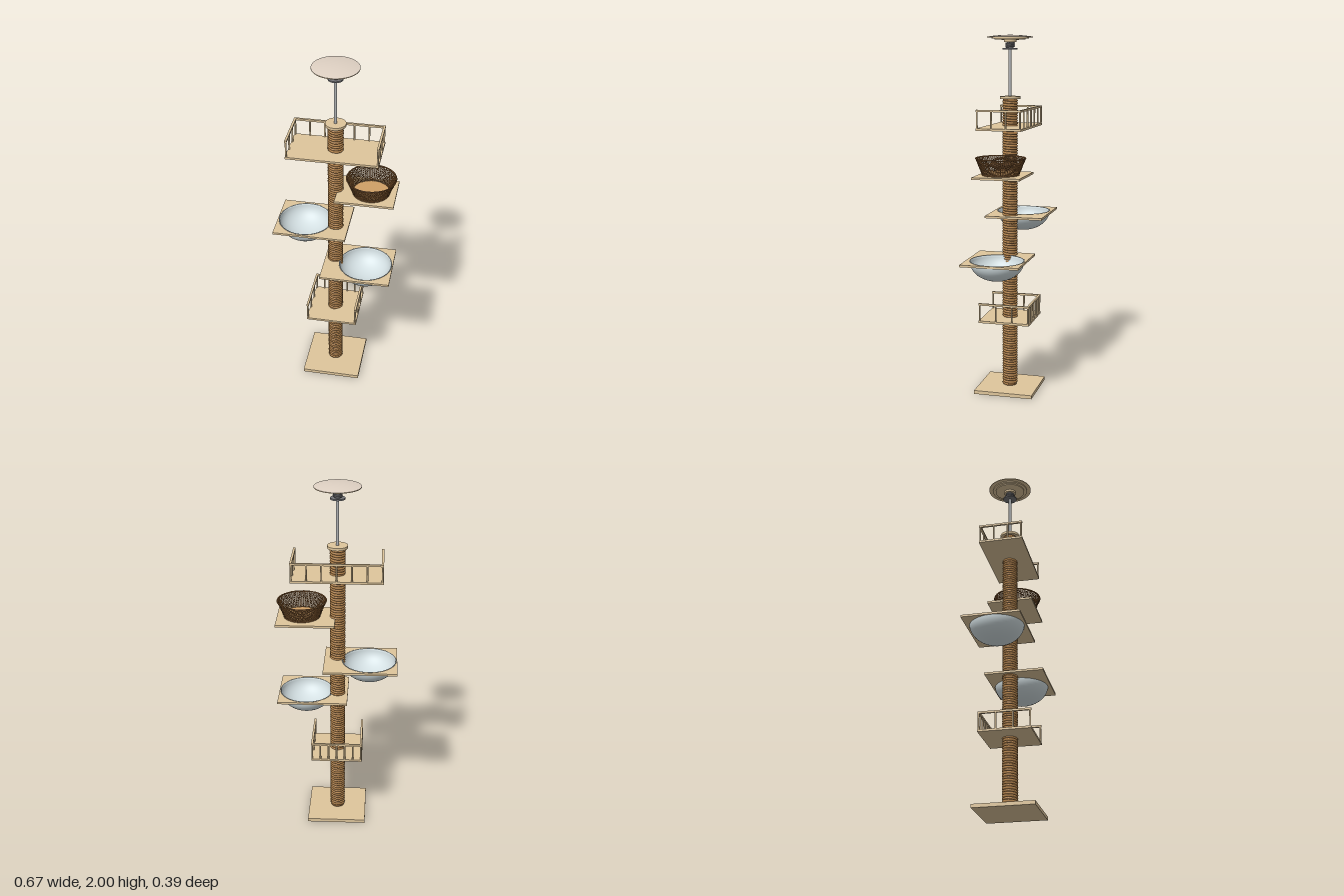
import * as THREE from 'three';

const mat = (name, color, extra = {}) => {
  const m = new THREE.MeshStandardMaterial({ color, ...extra });
  m.name = name;
  return m;
};

// Helix winding up around the y axis
class Helix extends THREE.Curve {
  constructor(radius, y0, y1, turns) {
    super();
    Object.assign(this, { radius, y0, y1, turns });
  }
  getPoint(t, target = new THREE.Vector3()) {
    const a = t * this.turns * Math.PI * 2;
    return target.set(Math.cos(a) * this.radius, this.y0 + (this.y1 - this.y0) * t, Math.sin(a) * this.radius);
  }
}

// Wavy ring of wicker weaving in and out of the stakes
class WeaveRing extends THREE.Curve {
  constructor(radius, y, waves, phase) {
    super();
    Object.assign(this, { radius, y, waves, phase });
  }
  getPoint(t, target = new THREE.Vector3()) {
    const a = t * Math.PI * 2;
    const r = this.radius + 0.002 * Math.cos(a * this.waves + this.phase);
    return target.set(Math.cos(a) * r, this.y, Math.sin(a) * r);
  }
}

export function createModel() {
  const wood = mat('wood', 0xdfc69c);
  const rope = mat('rope', 0xb98850);
  const darkRope = mat('rope shadow core', 0x7a5630);
  const steel = mat('steel', 0xaeb0b2);
  const darkSteel = mat('dark steel', 0x77777a);
  const bowlMat = mat('bowl plastic', 0xd3dfe2, { side: THREE.DoubleSide });
  const rimMat = mat('bowl rim', 0xa3adaf);
  const wicker = mat('wicker', 0x8a5e32);
  const cushionMat = mat('cushion', 0xd0a066);
  const padMat = mat('ceiling pad', 0xe0d2c4);

  const model = new THREE.Group();
  model.name = 'climbingTower';

  const add = (parent, name, geo, material, x = 0, y = 0, z = 0) => {
    const m = new THREE.Mesh(geo, material);
    m.name = name;
    m.position.set(x, y, z);
    parent.add(m);
    return m;
  };
  const box = (parent, name, material, x0, x1, y0, y1, z0, z1) =>
    add(parent, name, new THREE.BoxGeometry(x1 - x0, y1 - y0, z1 - z0), material,
      (x0 + x1) / 2, (y0 + y1) / 2, (z0 + z1) / 2);
  const disc = (name, material, r, y0, y1, seg = 48) =>
    add(model, name, new THREE.CylinderGeometry(r, r, y1 - y0, seg), material, 0, (y0 + y1) / 2, 0);

  // Base and rope-wrapped post
  box(model, 'base', wood, -0.167, 0.167, 0, 0.02, -0.167, 0.167);
  disc('postCore', darkRope, 0.038, 0.02, 1.655, 32);
  const turns = 117;
  add(model, 'ropeWrap', new THREE.TubeGeometry(new Helix(0.0365, 0.027, 1.65, turns), turns * 18, 0.007, 6), rope);
  disc('postCap', wood, 0.056, 1.655, 1.669);

  // Tension rod and stepped ceiling plate
  disc('tensionRod', steel, 0.008, 1.668, 1.975, 20);
  disc('springSeat', darkSteel, 0.04, 1.921, 1.929);
  disc('springCore', darkSteel, 0.018, 1.929, 1.966, 24);
  add(model, 'spring', new THREE.TubeGeometry(new Helix(0.022, 1.933, 1.96, 4), 96, 0.004, 6), darkSteel);
  disc('ceilingCollar', wood, 0.034, 1.962, 1.975);
  disc('ceilingLowerStep', wood, 0.085, 1.974, 1.98);
  disc('ceilingUpperStep', wood, 0.102, 1.98, 1.986);
  disc('ceilingPlate', wood, 0.125, 1.986, 1.99, 64);
  const dome = [];
  for (let i = 0; i <= 10; i++) {
    const r = 1 - i / 10;
    dome.push(new THREE.Vector2(0.125 * r, 2 - 0.01 * r * r));
  }
  add(model, 'ceilingPad', new THREE.LatheGeometry(dome, 64), padMat);

  // Platforms railed at the back and both sides
  const railedDeck = (name, hx, hz, y, h) => {
    const g = new THREE.Group();
    g.name = name;
    model.add(g);
    const t = 0.012;
    const top = y + h;
    box(g, 'deck', wood, -hx, hx, y, y + 0.012, -hz, hz);
    box(g, 'backRail', wood, -hx, hx, top - 0.011, top, -hz, -hz + t);
    const post = (x, z) => add(g, 'railPost', new THREE.CylinderGeometry(0.005, 0.005, h - 0.02, 12), wood, x, y + h / 2, z);
    const ix = hx - t / 2, iz = hz - t / 2;
    for (let i = 0; i < 7; i++) post(-ix + (2 * ix * i) / 6, -iz);
    for (const s of [-1, 1]) {
      add(g, 'sideRail', new THREE.BoxGeometry(t, 0.011, 2 * hz - t), wood, s * ix, top - 0.0055, t / 2);
      for (let i = 1; i < 4; i++) post(s * ix, -iz + (2 * iz * i) / 3);
    }
  };
  railedDeck('lowerRailedDeck', 0.145, 0.145, 0.411, 0.112);
  railedDeck('upperRailedDeck', 0.248, 0.124, 1.496, 0.111);

  // Platforms with a round hole holding a bowl
  const bowlDeck = (name, x0, x1, z0, z1, cx, cz, y) => {
    const g = new THREE.Group();
    g.name = name;
    model.add(g);
    const s = new THREE.Shape([[x0, -z1], [x1, -z1], [x1, -z0], [x0, -z0]].map(p => new THREE.Vector2(...p)));
    s.holes.push(new THREE.Path().absarc(cx, -cz, 0.15, 0, Math.PI * 2, true));
    const deck = new THREE.ExtrudeGeometry(s, { depth: 0.012, bevelEnabled: false, curveSegments: 64 });
    deck.rotateX(-Math.PI / 2);
    add(g, 'deck', deck, wood, 0, y, 0);
    // Outer shell up, then inner shell down
    const profile = [];
    for (let i = 0; i <= 16; i++) {
      const a = (i / 16) * Math.PI / 2;
      profile.push(new THREE.Vector2(0.15 * Math.sin(a), 0.011 - 0.111 * Math.cos(a)));
    }
    for (let i = 16; i >= 0; i--) {
      const a = (i / 16) * Math.PI / 2;
      profile.push(new THREE.Vector2(0.146 * Math.sin(a), 0.012 - 0.108 * Math.cos(a)));
    }
    add(g, 'bowl', new THREE.LatheGeometry(profile, 64), bowlMat, cx, y, cz);
    const rim = new THREE.TorusGeometry(0.149, 0.003, 8, 72);
    rim.rotateX(Math.PI / 2);
    add(g, 'bowlRim', rim, rimMat, cx, y + 0.011, cz);
  };
  bowlDeck('lowerBowlDeck', -0.058, 0.333, -0.132, 0.195, 0.178, 0.027, 0.77);
  bowlDeck('upperBowlDeck', -0.333, 0.073, -0.197, 0.128, -0.178, -0.033, 0.996);

  // Platform with a woven basket
  box(model, 'basketDeck', wood, 0.012, 0.333, 1.245, 1.257, -0.137, 0.123);
  const basket = new THREE.Group();
  basket.name = 'basket';
  basket.position.set(0.196, 1.257, 0);
  model.add(basket);
  const stakes = 72, rows = 19, h = 0.09;
  const radiusAt = k => 0.098 + 0.036 * k;
  for (let i = 0; i < rows; i++) {
    const k = i / (rows - 1);
    const ring = new WeaveRing(radiusAt(k), 0.003 + h * k, stakes / 2, (i % 2) * Math.PI);
    add(basket, 'weaveRing', new THREE.TubeGeometry(ring, 180, 0.0017, 5, true), wicker);
  }
  const tilt = Math.atan2(0.036, h);
  for (let i = 0; i < stakes; i++) {
    const stake = new THREE.CylinderGeometry(0.0015, 0.0015, Math.hypot(h, 0.036), 6);
    stake.rotateZ(-tilt);
    stake.translate(radiusAt(0.5), 0.003 + h / 2, 0);
    stake.rotateY((i / stakes) * Math.PI * 2);
    add(basket, 'stake', stake, wicker);
  }
  for (const [r, y, t] of [[0.134, 0.091, 0.0036], [0.098, 0.004, 0.004]]) {
    const band = new THREE.TorusGeometry(r, t, 8, 72);
    band.rotateX(Math.PI / 2);
    add(basket, 'basketBand', band, wicker, 0, y, 0);
  }
  add(basket, 'cushion', new THREE.CylinderGeometry(0.097, 0.095, 0.01, 48), cushionMat, 0, 0.006, 0);

  return model;
}
